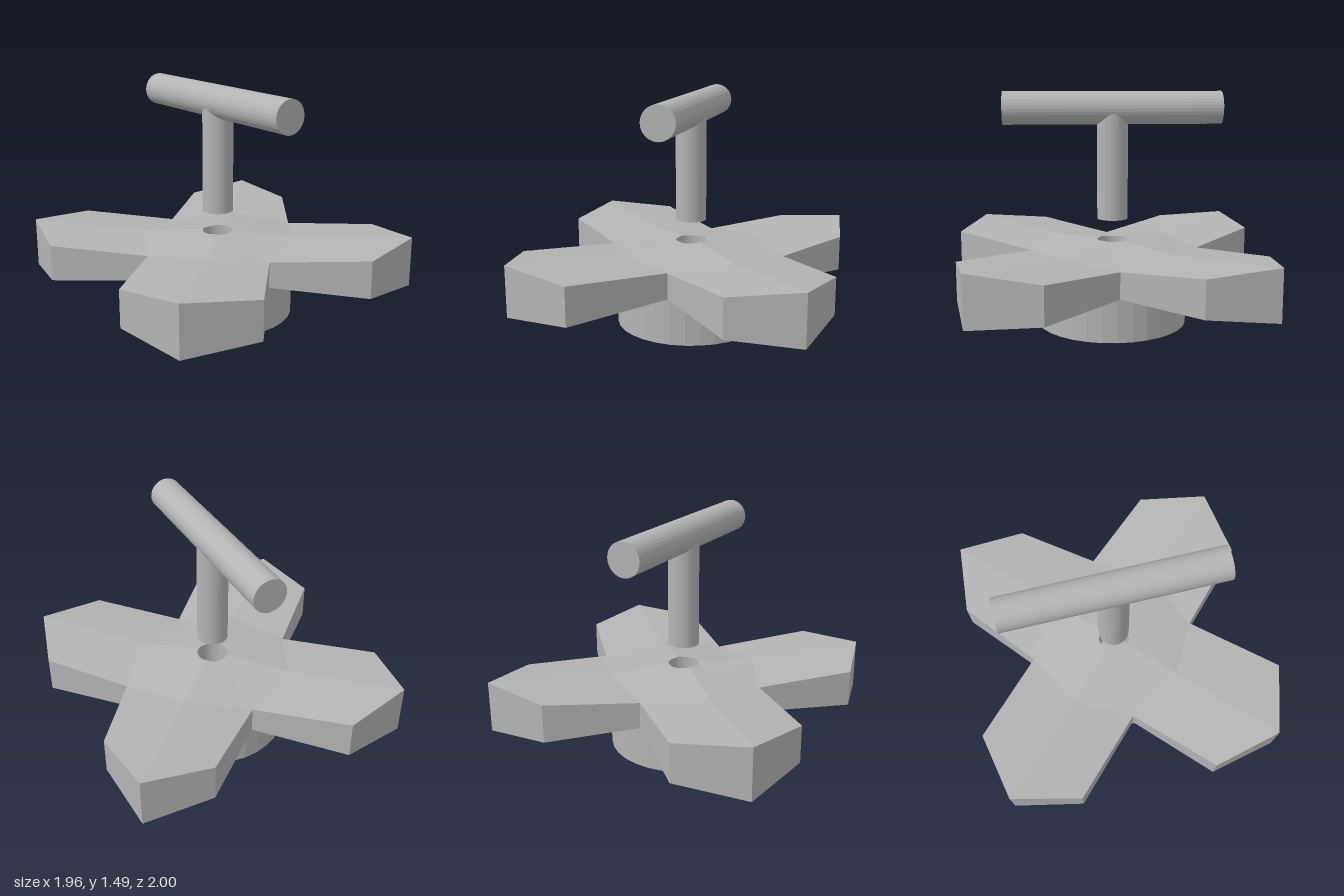
import * as THREE from 'three';

const MID = 0.39;              // height of the plate's mirror plane
const HUB = [0, -0.025];       // shared axis of hub, hole and post (x, z)
const HOLE_R = 0.098, HOLE_FLOOR = 0.3;

// One entry per arm: direction signs, then [x, z] of its points
const ARMS = [
  { sx: 1, sz: 1, base: [0.37, 0.33], side: [0.98, 0.41], corner: [0.875, 0.85], tip: [0.44, 0.93] },
  { sx: -1, sz: 1, base: [-0.33, 0.32], side: [-0.98, 0.41], corner: [-0.88, 0.85], tip: [-0.44, 0.995] },
  { sx: 1, sz: -1, base: [0.36, -0.36], side: [0.92, -0.465], corner: [0.875, -0.905], tip: [0.44, -0.945] },
  { sx: -1, sz: -1, base: [-0.36, -0.38], side: [-0.98, -0.465], corner: [-0.88, -0.905], tip: [-0.44, -1] },
];

function createPlate() {
  const pos = [];
  const tri = (a, b, c, flip) => {
    for (const p of flip ? [a, c, b] : [a, b, c]) pos.push(p.x, p.y, p.z);
  };
  const quad = (a, b, c, d, flip) => { tri(a, b, c, flip); tri(a, c, d, flip); };
  const at = ([x, z], y) => new THREE.Vector3(x, y, z);
  const low = (p) => new THREE.Vector3(p.x, 2 * MID - p.y, p.z);

  for (const { sx, sz, base, side, corner, tip } of ARMS) {
    const flip = sx * sz < 0;
    const c = at(HUB, 0.55), b = at(base, 0.508);
    const mx = at([sx > 0 ? 0.3 : -0.27, HUB[1]], 0.511);
    const mz = at([0, sz > 0 ? 0.26 : -0.305], 0.511);
    const nx = at([sx > 0 ? 0.605 : -0.535, HUB[1]], 0.472);
    const nz = at([0, sz > 0 ? 0.505 : -0.575], 0.472);
    const s = at(side, 0.505), k = at(corner, 0.55), t = at(tip, 0.51);

    // Facets of the arm, above and below
    for (const q of [[b, t, k, s], [b, s, nx, mx], [b, mz, nz, t]]) {
      quad(...q, flip);
      quad(...q.map(low), !flip);
    }
    quad(...[c, mz, b, mx].map(low), !flip);

    // Rim wall
    const rim = [nz, t, k, s, nx];
    for (let i = 0; i < 4; i++) quad(rim[i], low(rim[i]), low(rim[i + 1]), rim[i + 1], flip);

    // Central facets cut by the round socket, with its wall and floor
    const floor = at(HUB, HOLE_FLOOR);
    for (const [p, q] of [[mz, b], [b, mx]]) {
      const N = 5;
      const edge = (i) => p.clone().lerp(q, i / N);
      const lip = (e) => {
        const d = e.clone().sub(c);
        return c.clone().addScaledVector(d, HOLE_R / Math.hypot(d.x, d.z));
      };
      for (let i = 0; i < N; i++) {
        const e0 = edge(i), e1 = edge(i + 1), l0 = lip(e0), l1 = lip(e1);
        const f0 = l0.clone().setY(HOLE_FLOOR), f1 = l1.clone().setY(HOLE_FLOOR);
        quad(l0, e0, e1, l1, flip);
        quad(l0, l1, f1, f0, flip);
        tri(floor, f0, f1, flip);
      }
    }
  }
  const g = new THREE.BufferGeometry();
  g.setAttribute('position', new THREE.Float32BufferAttribute(pos, 3));
  g.computeVertexNormals();
  return g;
}

// Faceted cylinder
function rod(radius, length) {
  const g = new THREE.CylinderGeometry(radius, radius, length, 32).toNonIndexed();
  g.computeVertexNormals();
  return g;
}

export function createModel() {
  const group = new THREE.Group();
  const grey = new THREE.MeshStandardMaterial({ color: 0xb4b4b4 });
  grey.name = 'grey';
  const add = (name, geometry, x, y, z) => {
    const mesh = new THREE.Mesh(geometry, grey);
    mesh.name = name;
    mesh.position.set(x, y, z);
    group.add(mesh);
  };

  add('fourArmPlate', createPlate(), 0, 0, 0);
  add('baseHub', rod(0.48, 0.298), 0, 0.149, -0.02);
  add('handlePost', rod(0.098, 0.705), HUB[0], 1.0275, HUB[1]);
  add('handleBar', rod(0.104, 1.38).rotateX(Math.PI / 2), 0, 1.382, -0.025);
  return group;
}
